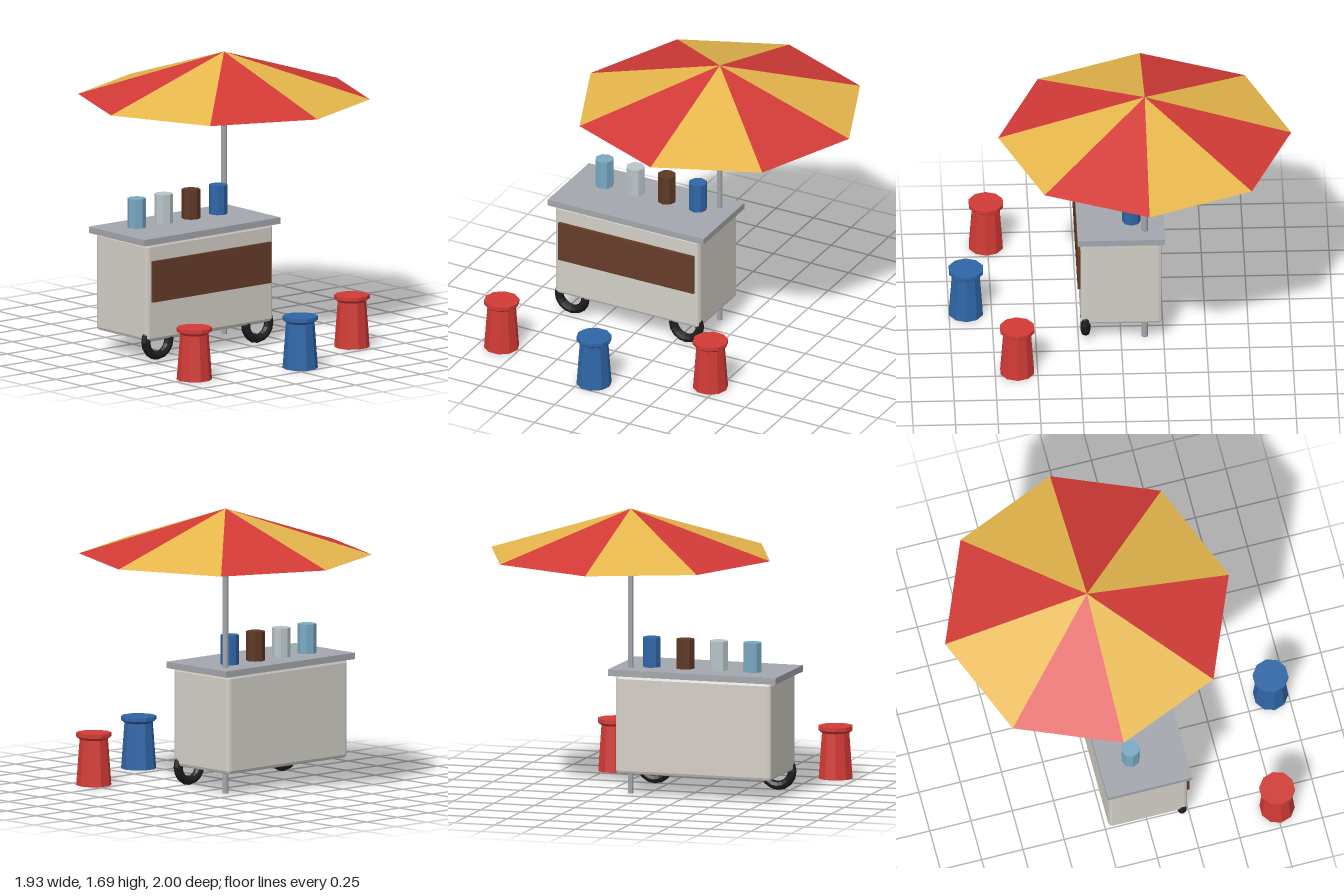
import * as THREE from 'three';
import { RoundedBoxGeometry } from 'three/addons/geometries/RoundedBoxGeometry.js';

const material = (color, extra = {}) =>
  new THREE.MeshStandardMaterial({ color, flatShading: true, ...extra });

const RED = material(0xd23a36);
const YELLOW = material(0xe6b64c);
const BLUE = material(0x2f66a8);
const METAL = material(0xa3a6ad);
const BROWN = material(0x653c29);
const CREAM = material(0xd3cfc7);
const RUBBER = material(0x1c1c1e);

function part(parent, name, geometry, mat, x = 0, y = 0, z = 0) {
  const mesh = new THREE.Mesh(geometry, mat);
  mesh.name = name;
  mesh.position.set(x, y, z);
  parent.add(mesh);
  return mesh;
}

function createCart() {
  const cart = new THREE.Group();
  cart.name = 'cart';
  const cx = -0.31;

  // Chamfered body, counter and front board
  part(cart, 'body', new RoundedBoxGeometry(0.96, 0.585, 0.476, 1, 0.02), CREAM, cx, 0.418, 0);
  part(cart, 'counter', new THREE.BoxGeometry(1.036, 0.038, 0.512), METAL, cx, 0.727, 0);
  part(cart, 'frontBoard', new THREE.BoxGeometry(0.9, 0.245, 0.03), BROWN, cx, 0.485, 0.24);

  // Wheels tucked under the front edge
  for (const x of [-0.69, 0.07]) {
    part(cart, 'wheel', new THREE.TorusGeometry(0.088, 0.027, 8, 16), RUBBER, x, 0.12, 0.208);
  }

  // Row of containers on the counter
  const containerColors = [0x78aac4, 0xbac6ca, 0x5e3825, 0x2f66a8];
  containerColors.forEach((color, i) => {
    const geometry = new THREE.CylinderGeometry(0.055, 0.055, 0.175, 8);
    part(cart, 'container', geometry, material(color), -0.622 + i * 0.207, 0.833, -0.065);
  });
  return cart;
}

function createUmbrella() {
  const umbrella = new THREE.Group();
  umbrella.name = 'umbrella';
  umbrella.position.set(0.105, 0, -0.14);
  const radius = 0.86, height = 0.27, rimY = 1.42, sides = 8;

  part(umbrella, 'pole', new THREE.CylinderGeometry(0.018, 0.018, 1.5, 8), METAL, 0, 0.75, 0);

  // Canopy panels in alternating colours
  const step = (Math.PI * 2) / sides;
  for (let i = 0; i < sides; i++) {
    const geometry = new THREE.ConeGeometry(radius, height, 1, 1, true, i * step, step);
    part(umbrella, 'canopyPanel', geometry, i % 2 ? RED : YELLOW, 0, rimY + height / 2, 0);
  }

  // Flat underside
  const underside = part(umbrella, 'canopyUnderside', new THREE.CircleGeometry(radius, sides), YELLOW, 0, rimY, 0);
  underside.rotation.x = Math.PI / 2;
  return umbrella;
}

// Tapered stool with a flared seat rim
function createStool(mat, x, z) {
  const profile = [[0, 0], [0.104, 0], [0.084, 0.272], [0.105, 0.288], [0.105, 0.31], [0, 0.31]]
    .map(([r, y]) => new THREE.Vector2(r, y));
  const geometry = new THREE.LatheGeometry(profile, 10, Math.PI / 2);
  const stool = new THREE.Group();
  part(stool, 'stool', geometry, mat, x, 0, z);
  return stool.children[0];
}

export function createModel() {
  const model = new THREE.Group();
  model.name = 'streetCart';
  model.add(
    createCart(),
    createUmbrella(),
    createStool(RED, -0.865, 0.76),
    createStool(BLUE, -0.175, 0.9),
    createStool(RED, 0.45, 0.62)
  );
  return model;
}
